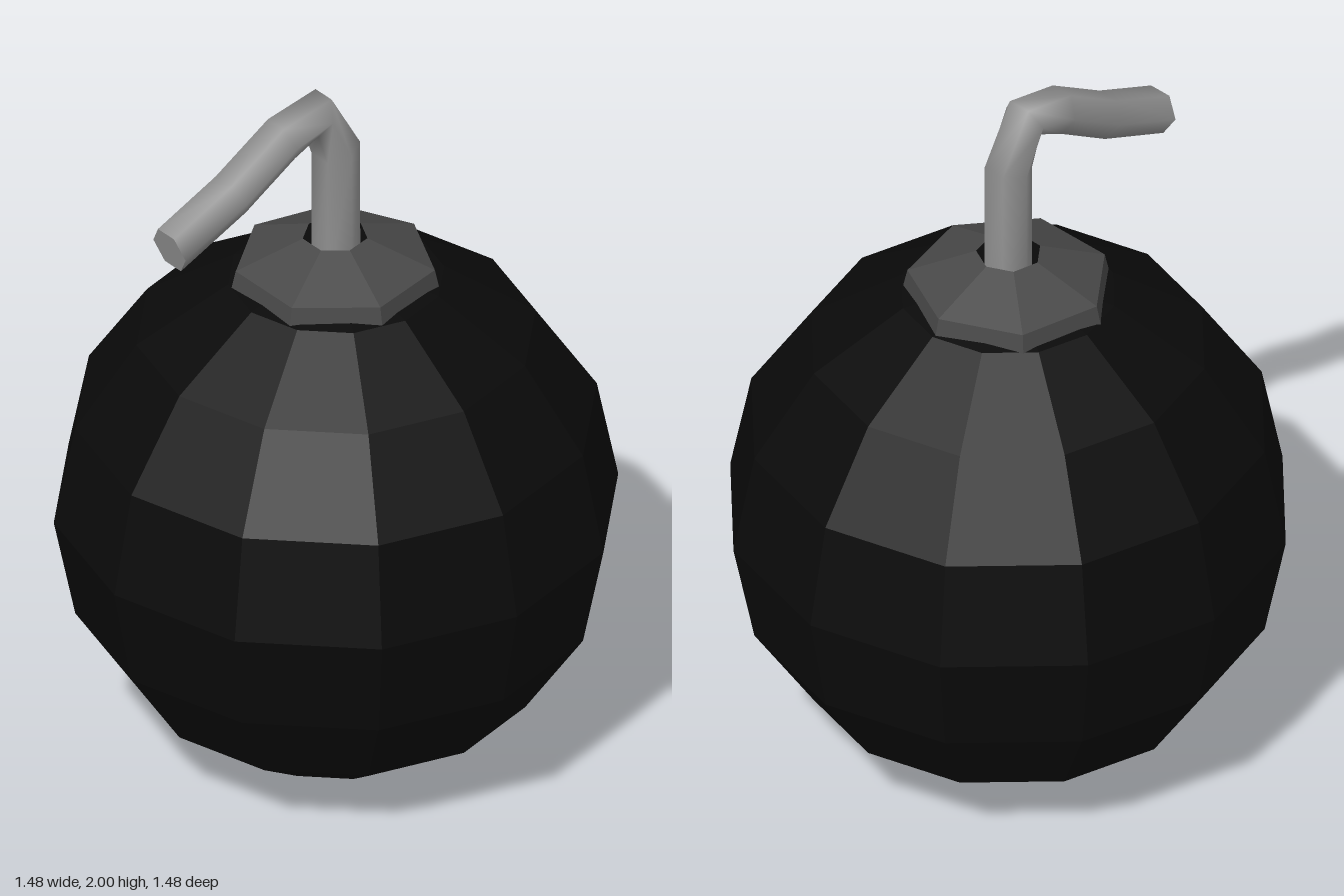
import * as THREE from 'three';

const material = (color, flatShading) =>
  new THREE.MeshStandardMaterial({ color, flatShading, side: THREE.DoubleSide });

// Six-sided smooth cord with mitred rings, each given by its outer and inner edge [xo, yo, xi, yi, z]
function cordGeometry(rings, radius, sides) {
  const positions = [];
  const index = [];
  const addRing = ([xo, yo, xi, yi, z]) => {
    for (let k = 0; k < sides; k++) {
      const a = (k / sides) * Math.PI * 2;
      const s = Math.sin(a) / Math.sin(Math.PI / 3) / 2;
      positions.push((xo + xi) / 2 + (xo - xi) * s, (yo + yi) / 2 + (yo - yi) * s, z + radius * Math.cos(a));
    }
  };
  rings.forEach(addRing);
  for (let i = 0; i < rings.length - 1; i++) {
    for (let k = 0; k < sides; k++) {
      const a = i * sides + k;
      const b = i * sides + ((k + 1) % sides);
      index.push(a, b, b + sides, a, b + sides, a + sides);
    }
  }
  // Separate end face keeps its rim sharp
  const start = rings.length * sides;
  addRing(rings[rings.length - 1]);
  for (let k = 1; k < sides - 1; k++) index.push(start, start + k, start + k + 1);

  const geometry = new THREE.BufferGeometry();
  geometry.setAttribute('position', new THREE.Float32BufferAttribute(positions, 3));
  geometry.setIndex(index);
  geometry.computeVertexNormals();
  return geometry;
}

export function createModel() {
  const model = new THREE.Group();
  const add = (name, geometry, mat) => {
    const mesh = new THREE.Mesh(geometry, mat);
    mesh.name = name;
    model.add(mesh);
    return mesh;
  };

  // Faceted round body
  add('body', new THREE.SphereGeometry(0.742, 12, 8), material(0x0a0a0a, true)).position.y = 0.743;

  // Seven-sided collar, open around the fuse
  const profile = [[0.278, 1.42], [0.265, 1.478], [0.086, 1.552]].map(([r, y]) => new THREE.Vector2(r, y));
  add('collar', new THREE.LatheGeometry(profile, 7, Math.PI / 2), material(0x484848, true)).position.z = -0.004;

  // Bent fuse
  const fuse = [
    [0.055, 1.42, -0.055, 1.42, 0],
    [0.053, 1.835, -0.055, 1.81, 0],
    [-0.04, 2.0, -0.084, 1.903, -0.002],
    [-0.197, 1.969, -0.16, 1.866, -0.005],
    [-0.37, 1.862, -0.322, 1.765, -0.007],
    [-0.563, 1.777, -0.54, 1.67, -0.008],
  ];
  add('fuse', cordGeometry(fuse, 0.066, 6), material(0x909090, false));

  return model;
}
